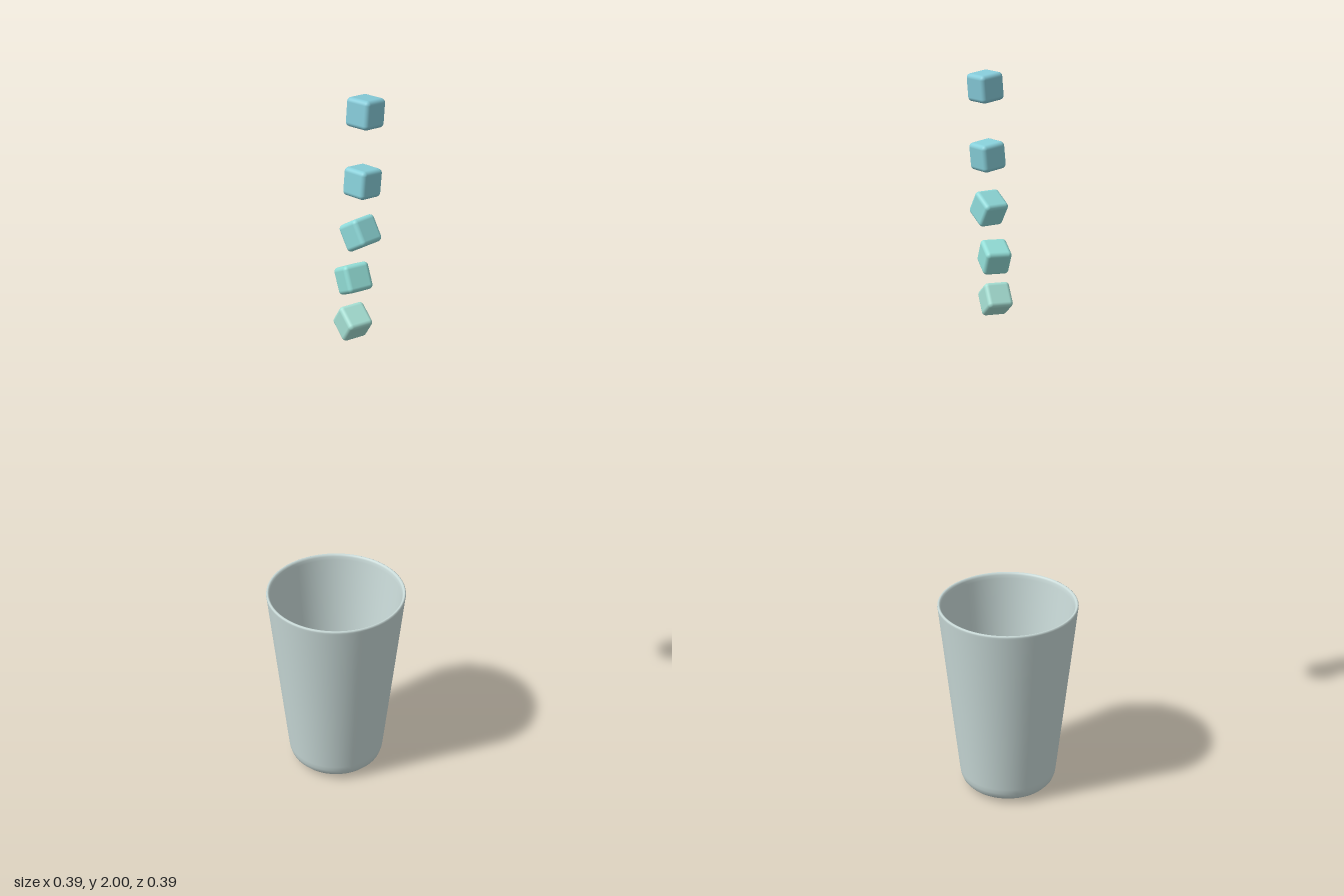
import * as THREE from 'three';
import { RoundedBoxGeometry } from 'three/addons/geometries/RoundedBoxGeometry.js';

export function createModel() {
  const model = new THREE.Group();
  model.name = 'cupAndFallingCubes';

  // Tapered cup: one closed profile, up the outside and down the inside
  const profile = [
    [0, 0], [0.08, 0.002], [0.108, 0.006], [0.122, 0.012], [0.131, 0.022], [0.136, 0.036], [0.138, 0.05],
    [0.157, 0.22], [0.1945, 0.558], [0.1955, 0.563], [0.195, 0.567], [0.192, 0.569],
    [0.188, 0.567], [0.186, 0.562], [0.1845, 0.552],
    [0.15, 0.24], [0.127, 0.05], [0.123, 0.035], [0.119, 0.028], [0.112, 0.026], [0, 0.026],
  ].map(([r, y]) => new THREE.Vector2(r, y));
  const cup = new THREE.Mesh(
    new THREE.LatheGeometry(profile, 64),
    new THREE.MeshStandardMaterial({ color: 0xcadbd9 })
  );
  cup.name = 'cup';
  model.add(cup);

  // Rounded cubes tumbling toward the cup: position, rotation, colour
  const cubes = [
    { at: [0.013, 1.965, 0.098], turn: [0, 0.22, -0.09], color: 0x86cbd9 },
    { at: [0.01, 1.794, 0.093], turn: [0, 0.18, -0.1], color: 0x88d0da },
    { at: [0.011, 1.661, 0.085], turn: [-0.54, 0.1, 0.08], color: 0x8fdada },
    { at: [0.005, 1.537, 0.066], turn: [-0.45, -0.14, -0.03], color: 0x92ddd6 },
    { at: [0, 1.423, 0.071], turn: [0.65, -0.05, 0.08], color: 0xa6e0d4 },
  ];
  const cubeShape = new RoundedBoxGeometry(0.069, 0.069, 0.069, 4, 0.011);
  cubes.forEach(({ at, turn, color }, i) => {
    const cube = new THREE.Mesh(cubeShape, new THREE.MeshStandardMaterial({ color }));
    cube.name = `cube${i + 1}`;
    cube.position.set(...at);
    cube.rotation.set(...turn);
    model.add(cube);
  });

  return model;
}
